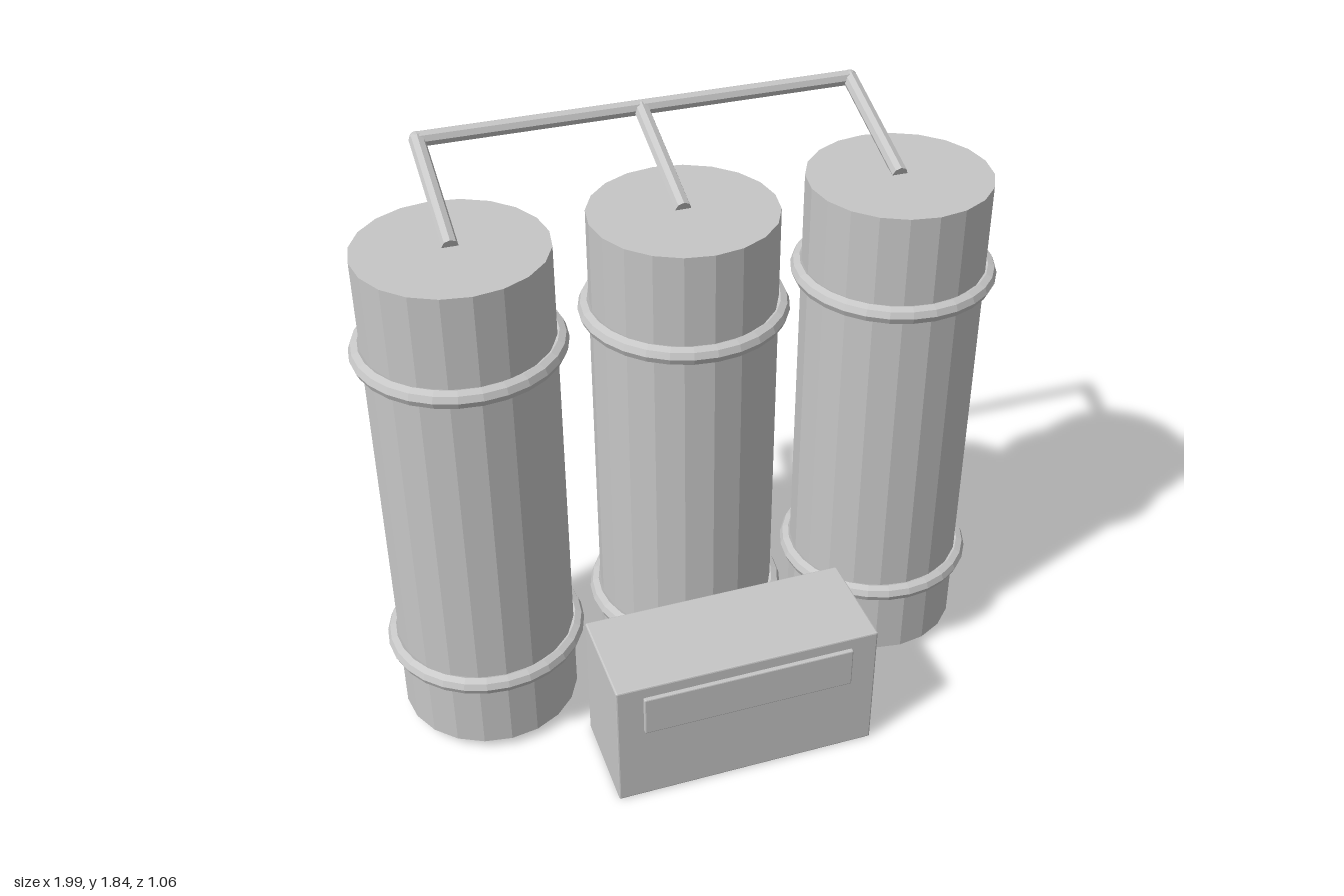
import * as THREE from 'three';
import { RoundedBoxGeometry } from 'three/addons/geometries/RoundedBoxGeometry.js';

const TANK_X = [-0.68, 0, 0.68];
const TANK_Z = -0.105;

export function createModel() {
  const model = new THREE.Group();
  model.name = 'tankBank';
  const grey = new THREE.MeshStandardMaterial({ color: 0xc6c6c6, flatShading: true });
  grey.name = 'light grey metal';

  function add(name, geometry, x, y, z) {
    const mesh = new THREE.Mesh(geometry, grey);
    mesh.name = name;
    mesh.position.set(x, y, z);
    model.add(mesh);
    return mesh;
  }

  // Straight pipe between two points
  function pipe(name, from, to) {
    const axis = to.clone().sub(from);
    const mid = from.clone().add(to).multiplyScalar(0.5);
    const mesh = add(name, new THREE.CylinderGeometry(0.024, 0.024, axis.length(), 8), mid.x, mid.y, mid.z);
    mesh.quaternion.setFromUnitVectors(new THREE.Vector3(0, 1, 0), axis.normalize());
  }

  // Three tanks, each with two hoops and a sloping outlet pipe
  for (const x of TANK_X) {
    add('tank', new THREE.CylinderGeometry(0.283, 0.283, 1.645, 20), x, 0.8525, TANK_Z);
    for (const y of [0.285, 1.363]) {
      add('tankHoop', new THREE.TorusGeometry(0.289, 0.028, 8, 28).rotateX(Math.PI / 2), x, y, TANK_Z);
    }
    pipe('outletPipe', new THREE.Vector3(x, 1.677, -0.105), new THREE.Vector3(x, 1.817, -0.507));
  }

  // Manifold pipe joining the outlets, with rounded corners
  pipe('manifoldPipe', new THREE.Vector3(-0.68, 1.817, -0.507), new THREE.Vector3(0.68, 1.817, -0.507));
  for (const x of [-0.68, 0.68]) {
    add('manifoldElbow', new THREE.SphereGeometry(0.024, 8, 6), x, 1.817, -0.507);
  }

  // Control box with a raised front panel
  add('controlBox', new RoundedBoxGeometry(0.844, 0.45, 0.334, 1, 0.005), 0, 0.225, 0.346);
  add('controlPanel', new RoundedBoxGeometry(0.675, 0.138, 0.018, 1, 0.004), 0, 0.341, 0.517);

  return model;
}
